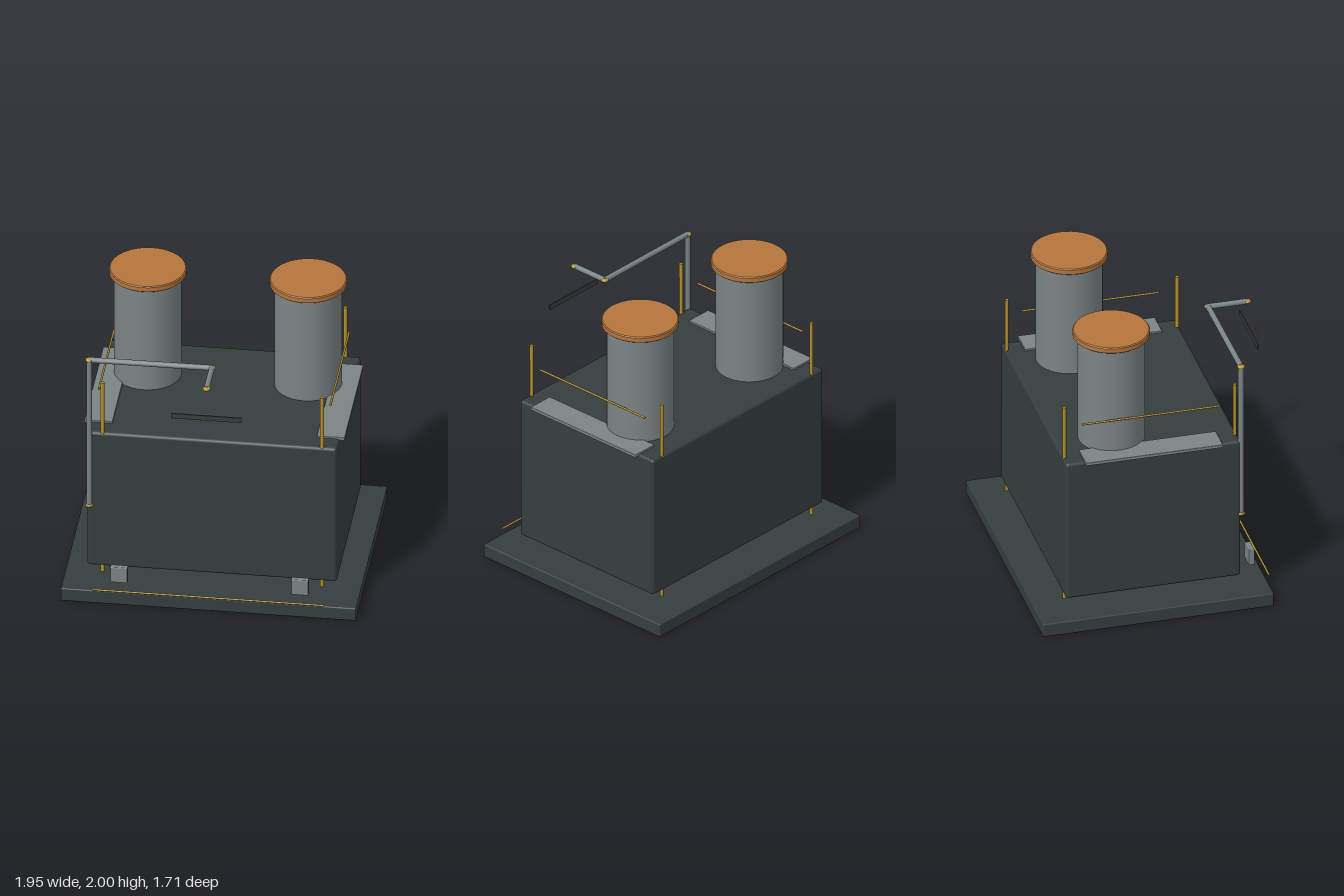
import * as THREE from 'three';
import { RoundedBoxGeometry } from 'three/addons/geometries/RoundedBoxGeometry.js';

const material = (name, color) => {
  const m = new THREE.MeshStandardMaterial({ color });
  m.name = name;
  return m;
};

export function createModel() {
  const dark = material('dark iron', 0x363e3e);
  const steel = material('grey steel', 0x7c8486);
  const brass = material('brass', 0xb5902b);
  const copper = material('copper', 0xb5753c);

  const model = new THREE.Group();
  model.name = 'boilerHouse';

  const add = (name, geometry, mat, x, y, z) => {
    const mesh = new THREE.Mesh(geometry, mat);
    mesh.name = name;
    mesh.position.set(x, y, z);
    model.add(mesh);
    return mesh;
  };
  // Box given by its limits on each axis, with softened edges
  const block = (name, mat, [x0, x1], [y0, y1], [z0, z1], r) =>
    add(name, new RoundedBoxGeometry(x1 - x0, y1 - y0, z1 - z0, 2, r), mat,
      (x0 + x1) / 2, (y0 + y1) / 2, (z0 + z1) / 2);
  // Round bar between two points
  const bar = (name, mat, a, b, r, sides = 12) => {
    const p = new THREE.Vector3(...a), q = new THREE.Vector3(...b);
    const d = q.clone().sub(p);
    const mid = p.clone().add(q).multiplyScalar(0.5);
    const mesh = add(name, new THREE.CylinderGeometry(r, r, d.length(), sides), mat, mid.x, mid.y, mid.z);
    mesh.quaternion.setFromUnitVectors(new THREE.Vector3(0, 1, 0), d.normalize());
    return mesh;
  };

  // Base slab and main housing
  block('baseSlab', dark, [-0.975, 0.975], [0, 0.095], [-0.855, 0.71], 0.008);
  block('housing', dark, [-0.825, 0.825], [0.175, 1.193], [-0.66, 0.525], 0.02);

  for (const s of [-1, 1]) {
    // Stack with a copper cap
    add('stack', new THREE.CylinderGeometry(0.222, 0.222, 0.78, 32), steel, s * 0.53, 1.57, -0.275);
    const cap = [[0, 0], [0.247, 0], [0.254, 0.006], [0.254, 0.037], [0.247, 0.043], [0, 0.043]];
    for (let i = 0; i + 1 < cap.length; i++) {
      const pair = [cap[i], cap[i + 1]].map(p => new THREE.Vector2(...p));
      add('stackCap', new THREE.LatheGeometry(pair, 40), copper, s * 0.53, 1.957, -0.275);
    }

    // Side walkway and its handrail
    const xs = [0.675, 0.86].map(x => x * s).sort((a, b) => a - b);
    block('walkway', steel, xs, [1.183, 1.206], [-0.535, 0.395], 0.004);
    bar('handrail', brass, [s * 0.765, 1.446, -0.535], [s * 0.765, 1.446, 0.395], 0.007, 8);

    // Corner posts
    for (const z of [0.51, -0.645])
      bar('cornerPost', brass, [s * 0.725, 0.13, z], [s * 0.725, 1.572, z], 0.013, 8);

    // Front bracket
    const bx = [0.54, 0.655].map(x => x * s).sort((a, b) => a - b);
    block('frontBracket', steel, bx, [0.14, 0.255], [0.625, 0.665], 0.006);
  }

  // Low front rail
  bar('frontRail', brass, [-0.765, 0.115, 0.732], [0.765, 0.115, 0.732], 0.007, 8);

  // Bent pipe with a brass joint at every corner
  const route = [[-0.81, 0.64, 0.53], [-0.81, 1.75, 0.53], [0, 1.75, 0.525], [0, 1.75, 0.79]];
  route.forEach((p, i) => {
    if (i) bar('pipe', steel, route[i - 1], p, 0.019);
    add('pipeJoint', new THREE.SphereGeometry(0.026, 16, 10), brass, ...p).scale.y = 0.55;
  });

  // Hanging plate with three small studs in front
  add('hangingPlate', new THREE.BoxGeometry(0.465, 0.036, 0.008), dark, 0, 1.533, 0.802);
  for (const i of [-1, 0, 1])
    add('plateStud', new THREE.BoxGeometry(0.016, 0.01, 0.004), i ? brass : steel, i * 0.036, 1.533, 0.848);

  return model;
}
